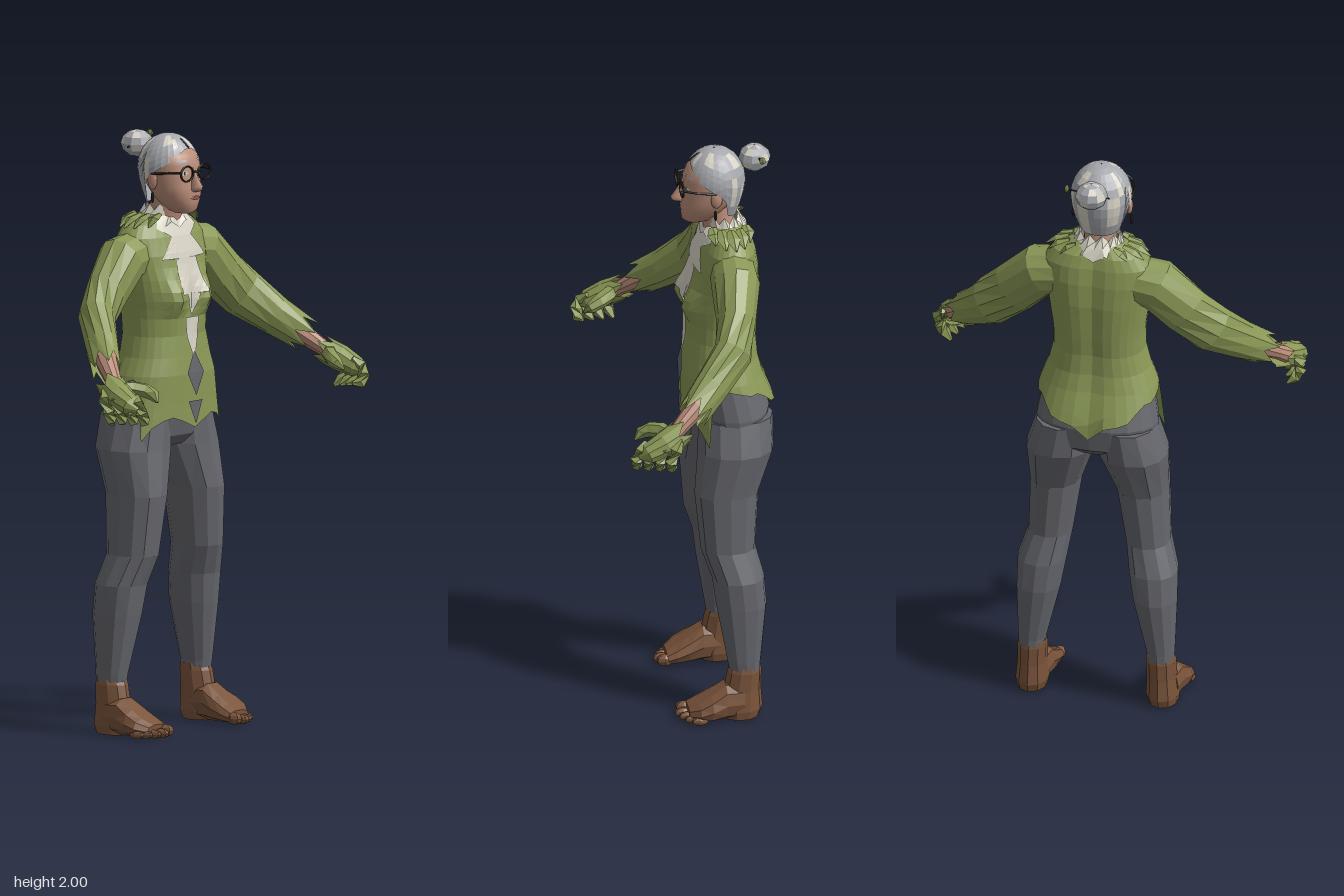
import * as THREE from 'three';

const V = (x, y, z) => new THREE.Vector3(x, y, z);
const paint = (name, color) => Object.assign(new THREE.MeshStandardMaterial({ color }), { name });
const both = (m) => { m.side = THREE.DoubleSide; return m; };
const leaf = both(paint('leaf green', 0x8a9856));
const trouser = paint('trouser grey', 0x66676d);
const brown = paint('foot brown', 0x7a543b);
const skin = paint('skin', 0xb98c78);
const silver = both(paint('silver hair', 0xa6a8ad));
const cream = both(paint('cream', 0xd6d2c4));
const dark = paint('dark frame', 0x2c2826);
const lip = paint('lip', 0x8c5a50);

// Surface through rows of points; closed rows form a tube, with optional end caps
function grid(rows, { closed = true, caps = false, keep = () => true } = {}) {
  const n = rows[0].length, pts = rows.flat(), idx = [];
  for (let i = 0; i < rows.length - 1; i++)
    for (let j = 0; j < (closed ? n : n - 1); j++) {
      if (!keep(i, j)) continue;
      const k = (j + 1) % n, a = i * n + j, b = i * n + k;
      idx.push(a, b, b + n, a, b + n, a + n);
    }
  if (caps) [0, rows.length - 1].forEach((r, end) => {
    const c = pts.length;
    pts.push(rows[r].reduce((s, p) => s.add(p), V(0, 0, 0)).divideScalar(n));
    for (let j = 0; j < n; j++) {
      const a = r * n + j, b = r * n + (j + 1) % n;
      idx.push(c, end ? a : b, end ? b : a);
    }
  });
  const g = new THREE.BufferGeometry().setFromPoints(pts);
  g.setIndex(idx);
  return g;
}

// Oval ring; u x v must point along the row order
function oval(c, u, v, n = 12, p = 1) {
  const pw = (t) => Math.sign(t) * Math.abs(t) ** p;
  return Array.from({ length: n }, (_, j) => {
    const a = j / n * Math.PI * 2;
    return c.clone().addScaledVector(u, pw(Math.cos(a))).addScaledVector(v, pw(Math.sin(a)));
  });
}
// Horizontal ring from its limits, starting at the front
const level = (y, x0, x1, zf, zb, n, p) =>
  oval(V((x0 + x1) / 2, y, (zf + zb) / 2), V(0, 0, (zf - zb) / 2), V((x1 - x0) / 2, 0, 0), n, p);

// Tube along [x, y, z, height radius, side radius], with pointed ends if jagged
function limb(path, { n = 10, jag0 = 0, jag1 = 0 } = {}) {
  const c = path.map((q) => V(q[0], q[1], q[2])), last = path.length - 1;
  return grid(path.map((q, i) => {
    const t = c[Math.min(i + 1, last)].clone().sub(c[Math.max(i - 1, 0)]).normalize();
    const u = t.clone().cross(V(0, 1, 0)).normalize(), v = t.clone().cross(u);
    const ring = oval(c[i], u.multiplyScalar(q[4] ?? q[3]), v.multiplyScalar(q[3]), n);
    const jag = i === 0 ? -jag0 : i === last ? jag1 : 0;
    ring.forEach((p, j) => p.addScaledVector(t, j % 2 ? jag : -jag * 0.5));
    return ring;
  }), { caps: !jag0 && !jag1 });
}

// Table rows [y, ...values] read at any height
function at(table, y) {
  let i = 0;
  while (i < table.length - 2 && table[i + 1][0] < y) i++;
  const a = table[i], b = table[i + 1], t = THREE.MathUtils.clamp((y - a[0]) / (b[0] - a[0]), 0, 1);
  return a.map((s, k) => s + (b[k] - s) * t);
}

// Thin panel laid on the front of a mesh; rows [y, left x, right x] from the bottom up
function panel(target, rows, lift = 0.005, cols = 8) {
  const ray = new THREE.Raycaster(), out = [];
  rows.forEach((r, i) => {
    const next = rows[i + 1], steps = next ? Math.max(1, Math.ceil((next[0] - r[0]) / 0.02)) : 1;
    for (let s = 0; s < steps; s++) {
      const [y, x0, x1] = next ? r.map((q, k) => q + (next[k] - q) * s / steps) : r;
      out.push(Array.from({ length: cols + 1 }, (_, j) => {
        const x = x0 + (x1 - x0) * j / cols;
        ray.set(V(x, y, 1), V(0, 0, -1));
        const hit = ray.intersectObject(target)[0];
        return V(x, y, (hit ? hit.point.z : -0.07) + lift);
      }));
    }
  });
  return grid(out, { closed: false });
}

export function createModel() {
  const model = new THREE.Group();
  model.name = 'elderWoman';
  const add = (name, geo, mat, smooth = false) => {
    const g = smooth ? geo : geo.toNonIndexed();
    g.computeVertexNormals();
    const m = new THREE.Mesh(g, mat);
    m.name = name;
    model.add(m);
    return m;
  };
  const pair = (name, geo, mat, smooth) => {
    const other = geo.clone().scale(-1, 1, 1);
    other.setIndex(Array.from(geo.index.array).reverse());
    add(name + 'Left', geo, mat, smooth);
    add(name + 'Right', other, mat, smooth);
  };
  const ball = (x, y, z, a, b, c, n = 8) => new THREE.SphereGeometry(1, n, 6).scale(a, b, c).translate(x, y, z);

  // Tunic: [y, half width, front z, back z], with a ragged slit hem
  const body = [[0.98, 0.245, 0.022, -0.295], [1.1, 0.223, 0.02, -0.29], [1.2, 0.197, 0.02, -0.25],
    [1.26, 0.172, 0.013, -0.235], [1.33, 0.155, 0.005, -0.23], [1.4, 0.155, 0, -0.235], [1.52, 0.172, -0.005, -0.24],
    [1.6, 0.188, -0.022, -0.235], [1.66, 0.185, -0.042, -0.225], [1.7, 0.155, -0.06, -0.212], [1.735, 0.08, -0.075, -0.185]];
  const hem = [1.02, 1.045, 1.06, 1.05, 1.03, 0.985, 1.175, 1.19, 1.18, 1.17, 1.16, 1.16, 1.14, 1.11, 1.1, 1.09, 1.04];
  const heights = [0, 0.35, 0.7, 1.2, 1.26, 1.33, 1.39, 1.42, 1.45, 1.48, 1.52, 1.56, 1.6, 1.66, 1.7, 1.735];
  const tunicRows = heights.map((h) => Array.from({ length: 32 }, (_, j) => {
    const low = hem[Math.min(j, 32 - j)], y = h < 1 ? low + (1.2 - low) * h : h;
    const [, w, zf, zb] = at(body, y), p = level(y, -w, w, zf, zb, 32, 0.87)[j], c = Math.cos(j / 16 * Math.PI);
    if (c > 0) p.z += 0.046 * c * Math.exp(-(((Math.abs(p.x) - 0.08) / 0.05) ** 2) - ((y - 1.455) / 0.055) ** 2);
    else p.z += 0.014 * Math.exp(-((p.x / 0.04) ** 2));
    return p;
  }));
  const tunic = add('tunic', grid(tunicRows), leaf);

  // Cream frill and inset diamonds down the front
  const mirrorRows = (r) => r.map(([y, x]) => [y, -x, x]);
  add('frill', panel(tunic, mirrorRows([[1.4, 0.003], [1.469, 0.035], [1.47, 0.068], [1.587, 0.05], [1.588, 0.112],
    [1.66, 0.05], [1.69, 0.1], [1.725, 0.075]])), cream);
  add('creamInset', panel(tunic, mirrorRows([[1.25, 0.002], [1.32, 0.026], [1.39, 0.034]])), cream);
  add('greyInsetUpper', panel(tunic, mirrorRows([[1.13, 0.002], [1.205, 0.042], [1.275, 0.002]]), 0.007), trouser);
  add('greyInsetLower', panel(tunic, mirrorRows([[1.035, 0.002], [1.11, 0.036]])), trouser);

  // Ragged collar and shoulder leaves
  const collar = [[1.69, 0.125, -0.045, -0.21], [1.728, 0.088, -0.065, -0.193], [1.75, 0.07, -0.06, -0.172]];
  add('collar', grid(collar.map(([y, w, f, b], i) => level(y, -w, w, f, b, 20).map((p, j) => {
    p.y += (i === 1 ? 0 : 0.018) * (j % 2 ? 1 : -0.3);
    return p;
  }))), cream);
  const tuft = [];
  for (let k = 0; k < 5; k++) {
    const a = 0.75 + k * 0.42, x = 0.12 * Math.sin(a), z = -0.13 + 0.075 * Math.cos(a);
    tuft.push([[x * 0.85, 1.735, z, 0.004, 0.012], [x * 1.2, 1.722, z * 1.02, 0.008, 0.024], [x * 1.5, 1.695, z * 1.04, 0.003]]);
  }
  tuft.forEach((t, k) => pair('shoulderLeaf' + k, limb(t, { n: 4 }), leaf));

  // Sleeves, forearms and leafy hands
  pair('sleeve', limb([[0.11, 1.6, -0.135, 0.085, 0.075], [0.2, 1.587, -0.13, 0.09, 0.082], [0.295, 1.495, -0.115, 0.088, 0.066],
    [0.38, 1.42, -0.09, 0.083, 0.062], [0.455, 1.34, -0.005, 0.066, 0.056], [0.508, 1.288, 0.055, 0.056, 0.05]],
  { n: 12, jag1: 0.042 }), leaf);
  pair('forearm', limb([[0.44, 1.355, -0.02, 0.042], [0.5, 1.29, 0.055, 0.036], [0.545, 1.235, 0.125, 0.026], [0.57, 1.205, 0.165, 0.03]]), skin);
  pair('palm', limb([[0.557, 1.225, 0.125, 0.043, 0.052], [0.578, 1.2, 0.175, 0.044, 0.05], [0.588, 1.175, 0.235, 0.034, 0.04],
    [0.59, 1.165, 0.265, 0.008]], { n: 10, jag0: 0.03 }), leaf);
  for (let k = 0; k < 4; k++) {
    const x = 0.612 - k * 0.013, z = 0.145 + k * 0.037;
    pair('finger' + k, limb([[x - 0.012, 1.225 - k * 0.006, z - 0.02, 0.01], [x + 0.01, 1.195 - k * 0.004, z, 0.023],
      [x + 0.007, 1.155, z + 0.016, 0.022], [x - 0.01, 1.125, z + 0.012, 0.02], [x - 0.035, 1.105 + k * 0.007, z, 0.006]], { n: 5 }), leaf);
  }
  pair('thumb', limb([[0.555, 1.225, 0.15, 0.02], [0.515, 1.222, 0.175, 0.027], [0.487, 1.215, 0.21, 0.025], [0.478, 1.2, 0.24, 0.02],
    [0.487, 1.18, 0.262, 0.004]], { n: 6 }), leaf);

  // Trousers
  add('hips', grid([[0.955, 0.12, -0.06, -0.22], [0.99, 0.205, -0.03, -0.262], [1.07, 0.208, -0.012, -0.272], [1.2, 0.185, 0, -0.235]]
    .map(([y, w, f, b]) => level(y, -w, w, f, b, 20, 0.9)), { caps: true }), trouser);
  pair('trouserLeg', grid([[0.13, 0.178, 0.263, -0.112, -0.21], [0.2, 0.173, 0.268, -0.1, -0.212], [0.4, 0.125, 0.275, -0.065, -0.235],
    [0.5, 0.108, 0.275, -0.052, -0.228], [0.6, 0.093, 0.243, -0.018, -0.202], [0.8, 0.062, 0.237, 0, -0.217],
    [0.95, 0.008, 0.242, -0.015, -0.272], [1.06, 0.008, 0.205, -0.02, -0.272]]
    .map(([y, a, b, f, k]) => level(y, a, b, f, k, 12, 0.92)), { caps: true }), trouser);

  // Feet with toes
  pair('ankle', grid([[0, 0.175, 0.275, -0.08, -0.205], [0.03, 0.168, 0.28, -0.07, -0.217], [0.1, 0.172, 0.272, -0.085, -0.212],
    [0.165, 0.17, 0.271, -0.098, -0.214], [0.19, 0.171, 0.265, -0.11, -0.208]]
    .map(([y, a, b, f, k]) => level(y, a, b, f, k, 10)), { caps: true }), brown);
  pair('foot', grid([[-0.15, 0.172, 0.278, 0.12], [-0.09, 0.163, 0.288, 0.125], [-0.04, 0.156, 0.3, 0.092], [0, 0.155, 0.297, 0.066], [0.035, 0.16, 0.265, 0.045]]
    .map(([z, a, b, h]) => oval(V((a + b) / 2, h / 2, z), V((b - a) / 2, 0, 0), V(0, h / 2, 0), 10, 0.8)), { caps: true }), brown);
  [[0.178, 0.042, 0.021], [0.21, 0.05, 0.016], [0.237, 0.04, 0.015], [0.262, 0.024, 0.014], [0.284, 0.004, 0.014]]
    .forEach(([x, z, r], k) => pair('toe' + k, ball(x, r, z, r, r, 0.03, 6), brown));

  // Head, neck and face
  add('neck', grid([[1.66, 0.075, -0.06, -0.18], [1.72, 0.056, -0.055, -0.165], [1.8, 0.055, -0.03, -0.15]]
    .map(([y, w, f, b]) => level(y, -w, w, f, b, 12))), skin, true);
  const face = add('face', grid([[1.738, 0.025, 0.004, -0.06], [1.75, 0.044, 0.017, -0.09], [1.775, 0.063, 0.021, -0.12], [1.8, 0.078, 0.023, -0.14],
    [1.83, 0.087, 0.02, -0.16], [1.865, 0.091, 0.013, -0.17], [1.9, 0.092, 0.013, -0.17], [1.93, 0.089, 0, -0.165], [1.96, 0.07, -0.028, -0.15]]
    .map(([y, w, f, b]) => level(y, -w, w, f, b, 24, 0.92)), { caps: true }), skin, true);
  add('nose', grid([[1.812, 0.01, 0.035, 0], [1.82, 0.019, 0.053, 0], [1.832, 0.016, 0.054, 0], [1.86, 0.009, 0.034, 0], [1.89, 0.008, 0.018, 0]]
    .map(([y, w, f, b]) => level(y, -w, w, f, b, 8)), { caps: true }), skin, true);
  add('lips', panel(face, [[1.785, -0.012, 0.012], [1.792, -0.028, 0.028], [1.799, -0.01, 0.01]], 0.004), lip);
  pair('eye', panel(face, [[1.868, 0.034, 0.044], [1.875, 0.024, 0.056], [1.882, 0.032, 0.048]], 0.003), cream);
  pair('iris', panel(face, [[1.869, 0.037, 0.043], [1.881, 0.037, 0.043]], 0.005), dark);
  pair('brow', panel(face, [[1.913, 0.022, 0.06], [1.92, 0.026, 0.062]], 0.003), silver);
  pair('ear', ball(0.094, 1.85, -0.085, 0.012, 0.032, 0.02), skin, true);
  pair('earring', ball(0.1, 1.795, -0.08, 0.006, 0.02, 0.006, 6), dark);

  // Glasses
  pair('lensRim', new THREE.TorusGeometry(0.032, 0.004, 5, 16).scale(1, 0.8, 1).translate(0.045, 1.876, 0.024), dark);
  add('bridge', new THREE.BoxGeometry(0.03, 0.006, 0.006).translate(0, 1.88, 0.027), dark);
  pair('templeArm', limb([[0.075, 1.882, 0.024, 0.004], [0.096, 1.88, -0.02, 0.004], [0.1, 1.873, -0.085, 0.004]], { n: 4 }), dark);

  // Swept-back hair with pale streaks
  const hairline = [1.955, 1.95, 1.94, 1.925, 1.91, 1.895, 1.88, 1.865, 1.84, 1.775, 1.768, 1.766, 1.765, 1.765, 1.765];
  const hairRows = Array.from({ length: 10 }, (_, i) => Array.from({ length: 28 }, (_, j) => {
    const low = hairline[Math.min(j, 28 - j)], y = low + (2 - low) * Math.sin(i / 9 * Math.PI / 2), d = (y - 1.885) / 0.115;
    const f = d > 0 ? Math.sqrt(Math.max(0, 1 - d * d)) : 1 - 0.28 * Math.abs(d) ** 1.5, a = j / 14 * Math.PI;
    return V(0.104 * f * Math.sin(a), y, -0.094 + 0.104 * f * Math.cos(a));
  }));
  const streaks = [[1, 1, 1, 4], [4, 5, 4, 6], [9, 9, 1, 3], [11, 12, 0, 2], [10, 11, 5, 6], [16, 17, 1, 3], [18, 18, 4, 6], [20, 20, 0, 2], [23, 24, 4, 6], [25, 25, 2, 4]];
  const streaked = (i, j) => streaks.some(([a, b, c, d]) => j >= a && j <= b && i >= c && i <= d);
  add('hair', grid(hairRows, { keep: (i, j) => !streaked(i, j) }), silver);
  add('hairStreaks', grid(hairRows, { keep: streaked }), cream);
  add('hairParting', limb([[0, 1.957, -0.006, 0.003], [0, 1.98, -0.035, 0.003], [0, 2, -0.095, 0.002]], { n: 4 }), dark);

  // Bun with pale facets and a hairpin
  const bunRows = Array.from({ length: 7 }, (_, i) => {
    const a = (i / 6 - 0.5) * Math.PI, r = Math.max(0.002, 0.055 * Math.cos(a));
    return oval(V(0, 1.953 + 0.046 * Math.sin(a), -0.229), V(0, 0, r), V(r, 0, 0), 10);
  });
  const pale = (i, j) => (i * 3 + j * 2) % 7 < 2;
  add('bun', grid(bunRows, { keep: (i, j) => !pale(i, j) }), silver);
  add('bunStreaks', grid(bunRows, { keep: pale }), cream);
  add('hairpin', limb([[-0.06, 1.945, -0.22, 0.003], [0.08, 1.975, -0.242, 0.003]], { n: 5 }), dark);
  add('hairpinLeaf', ball(0.082, 1.976, -0.242, 0.008, 0.013, 0.012, 6), leaf);

  return model;
}
